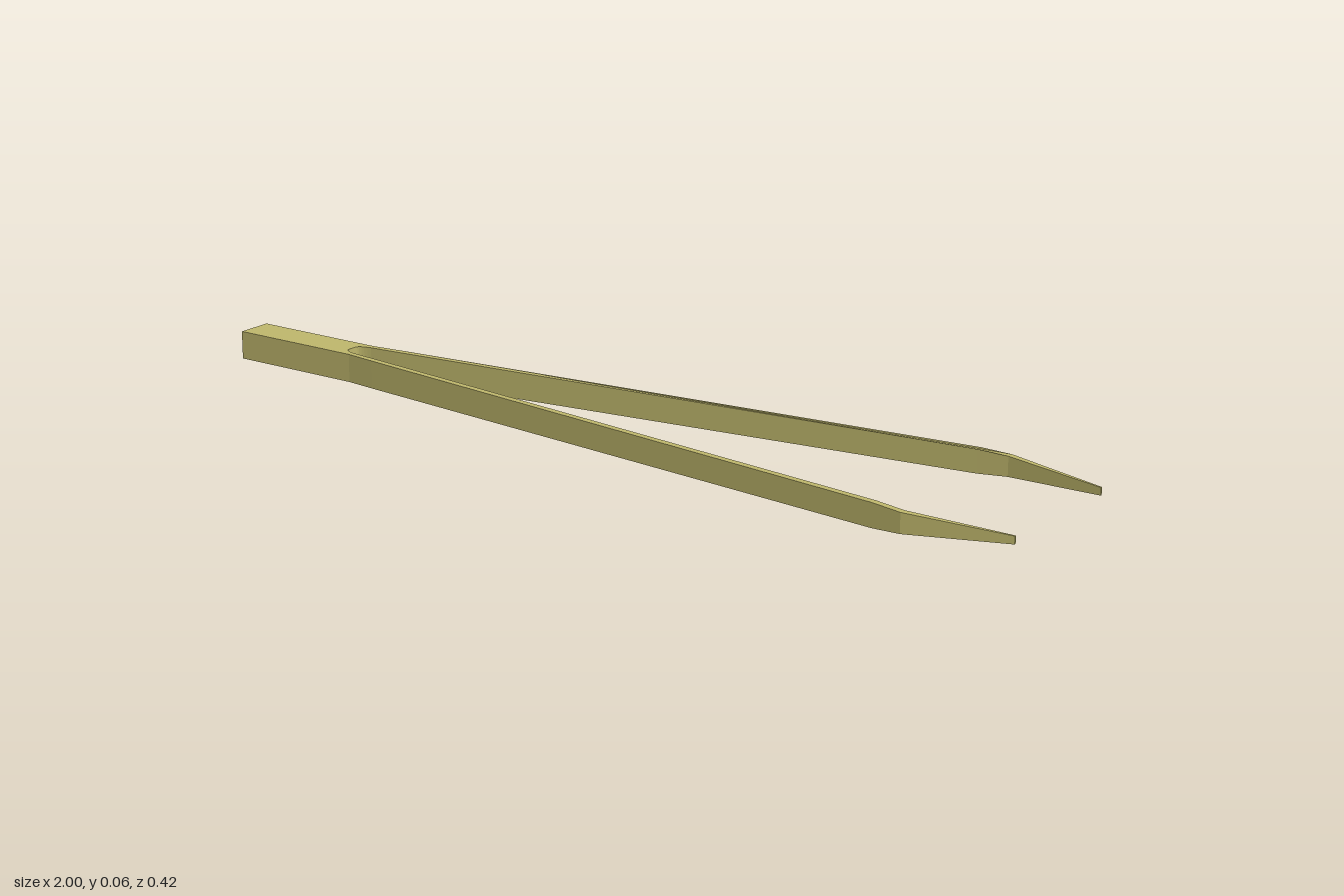
import * as THREE from 'three';

const MID = 0.031; // mid height of the strip

// Half height of the strip along its length: gentle taper, then a sharp tip
const PROFILE = [[-1, 0.031], [-0.69, 0.031], [0.72, 0.025], [1, 0.008]];
function halfHeight(x) {
  for (let i = 1; i < PROFILE.length; i++) {
    const [x0, h0] = PROFILE[i - 1], [x1, h1] = PROFILE[i];
    if (x <= x1 + 1e-6) return h0 + (h1 - h0) * (x - x0) / (x1 - x0);
  }
  return PROFILE[PROFILE.length - 1][1];
}

// Extrude a plan outline (x, z) and squeeze its height by the profile
function strip(name, shape, material) {
  const geo = new THREE.ExtrudeGeometry(shape, { depth: 1, bevelEnabled: false, curveSegments: 6 });
  geo.translate(0, 0, -0.5).rotateX(Math.PI / 2);
  const p = geo.attributes.position;
  for (let i = 0; i < p.count; i++) {
    p.setY(i, MID + Math.sign(p.getY(i)) * halfHeight(p.getX(i)));
  }
  geo.computeVertexNormals();
  const mesh = new THREE.Mesh(geo, material);
  mesh.name = name;
  return mesh;
}

export function createModel() {
  const group = new THREE.Group();
  group.name = 'tweezers';
  const material = new THREE.MeshStandardMaterial({ color: 0xbdb56b });

  // Handle block with a rounded notch where the arms part
  const handle = new THREE.Shape();
  handle.moveTo(-1, -0.04);
  handle.lineTo(-0.69, -0.04);
  handle.lineTo(-0.62, -0.049);
  handle.lineTo(-0.62, -0.034);
  handle.lineTo(-0.685, -0.027);
  handle.quadraticCurveTo(-0.713, -0.022, -0.715, -0.012);
  handle.lineTo(-0.715, 0.012);
  handle.quadraticCurveTo(-0.713, 0.022, -0.685, 0.027);
  handle.lineTo(-0.62, 0.034);
  handle.lineTo(-0.62, 0.049);
  handle.lineTo(-0.69, 0.04);
  handle.lineTo(-1, 0.04);
  handle.closePath();
  group.add(strip('handle', handle, material));

  // Two mirrored arms, spreading outward and bent in at the tips
  const outer = [[-0.62, 0.049], [0.72, 0.204], [0.785, 0.211], [1, 0.17]];
  const inner = [[1, 0.166], [0.785, 0.196], [0.72, 0.189], [-0.62, 0.034]];
  for (const [name, side] of [['frontArm', 1], ['backArm', -1]]) {
    const points = [...outer, ...inner].map(([x, z]) => new THREE.Vector2(x, z * side));
    group.add(strip(name, new THREE.Shape(points), material));
  }
  return group;
}
